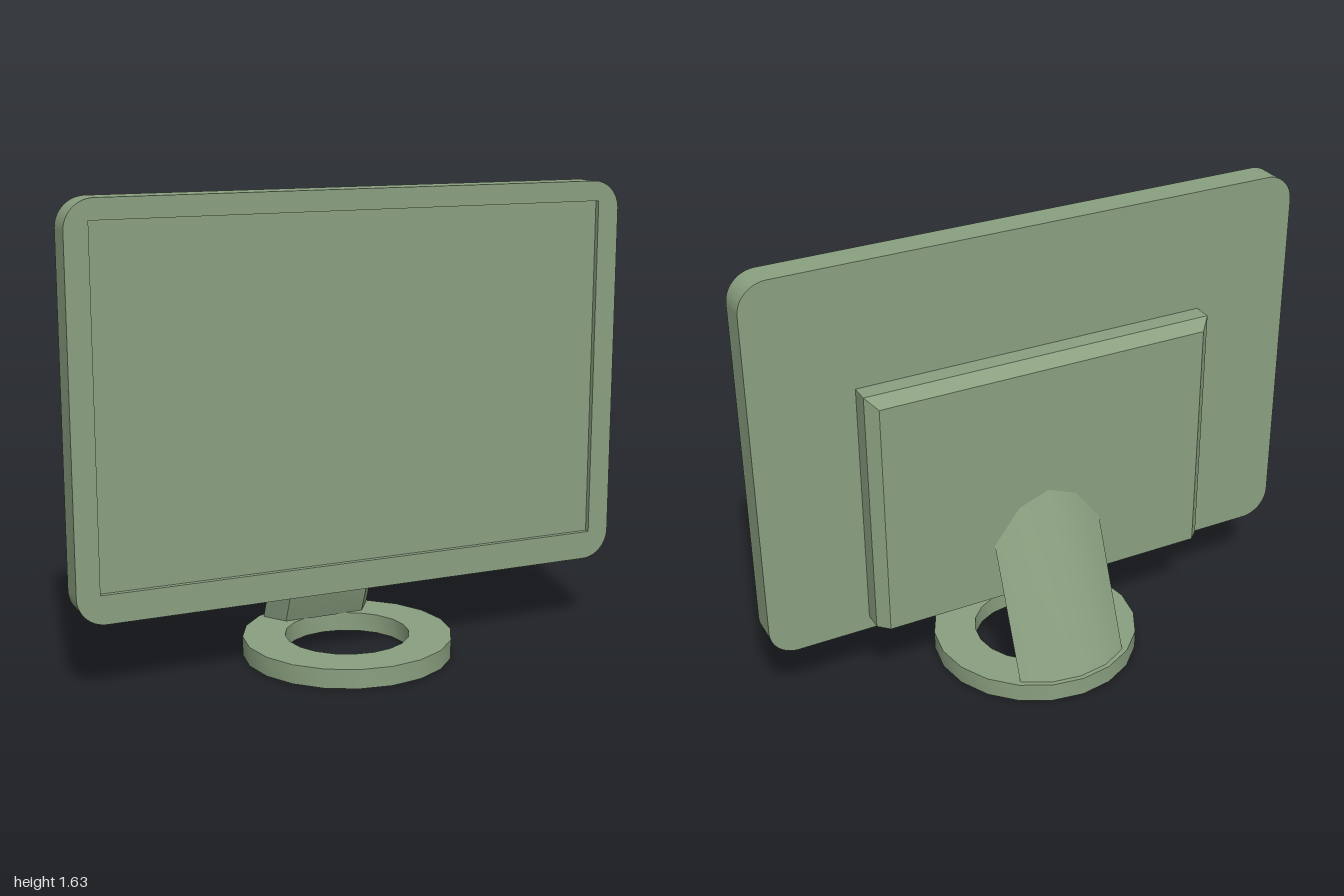
import * as THREE from 'three';
import { toCreasedNormals } from 'three/addons/utils/BufferGeometryUtils.js';

const material = new THREE.MeshStandardMaterial({ color: 0x8aa080 });

function addPart(group, name, geometry) {
  const mesh = new THREE.Mesh(toCreasedNormals(geometry, 0.5), material);
  mesh.name = name;
  group.add(mesh);
  return mesh;
}

// Apply a rule to every vertex of a geometry
function moveVertices(geometry, rule) {
  const pos = geometry.attributes.position;
  const v = new THREE.Vector3();
  for (let i = 0; i < pos.count; i++) {
    rule(v.fromBufferAttribute(pos, i));
    pos.setXYZ(i, v.x, v.y, v.z);
  }
  return geometry;
}

function roundedRect(x0, y0, x1, y1, r) {
  const s = new THREE.Shape();
  s.absarc(x1 - r, y0 + r, r, -Math.PI / 2, 0);
  s.absarc(x1 - r, y1 - r, r, 0, Math.PI / 2);
  s.absarc(x0 + r, y1 - r, r, Math.PI / 2, Math.PI);
  s.absarc(x0 + r, y0 + r, r, Math.PI, Math.PI * 1.5);
  s.closePath();
  return s;
}

export function createModel() {
  const model = new THREE.Group();
  model.name = 'monitor';

  // Frame with rounded corners around the display opening
  const back = 0.004, front = 0.108, recess = 0.018;
  const frame = roundedRect(-1, 0.26, 1, 1.635, 0.1);
  frame.holes.push(new THREE.Path([
    new THREE.Vector2(-0.92, 0.36), new THREE.Vector2(-0.92, 1.565),
    new THREE.Vector2(0.92, 1.565), new THREE.Vector2(0.92, 0.36),
  ]));
  const frameGeo = new THREE.ExtrudeGeometry(frame, { depth: front - back, bevelEnabled: false, curveSegments: 8 });
  addPart(model, 'frame', frameGeo.translate(0, 0, back));

  // Display set slightly back in the frame
  const depth = front - recess - back;
  addPart(model, 'display', new THREE.BoxGeometry(1.84, 1.205, depth))
    .position.set(0, 0.9625, back + depth / 2);

  // Rear housing, chamfered along the top and both sides
  const housing = moveVertices(new THREE.BoxGeometry(1.28, 0.89, 1, 1, 1, 2), (v) => {
    const rear = v.z < -0.25;
    if (rear) {
      v.x -= Math.sign(v.x) * 0.037;
      if (v.y > 0) v.y -= 0.037;
    }
    v.y += 0.755;
    v.z = rear ? -0.098 : v.z > 0.25 ? 0.01 : -0.062;
  });
  addPart(model, 'rearHousing', housing);

  // Ring foot
  const ring = new THREE.Shape();
  const hole = new THREE.Path();
  for (let i = 0; i < 20; i++) {
    const a = (i / 20) * Math.PI * 2;
    const c = Math.cos(a), s = Math.sin(a);
    if (i === 0) { ring.moveTo(0.37 * c, 0.37 * s); hole.moveTo(0.22 * c, 0.22 * s); }
    else { ring.lineTo(0.37 * c, 0.37 * s); hole.lineTo(0.22 * c, 0.22 * s); }
  }
  ring.closePath();
  hole.closePath();
  ring.holes.push(hole);
  const ringGeo = new THREE.ExtrudeGeometry(ring, { depth: 0.068, bevelEnabled: false });
  addPart(model, 'ringFoot', ringGeo.rotateX(-Math.PI / 2));

  // Leaning arm: curved-back section swept up and forward into the housing
  const section = new THREE.Shape([
    [0.15, 0.205], [0.205, 0.286], [0.11, 0.337], [0, 0.354],
    [-0.11, 0.337], [-0.205, 0.286], [-0.15, 0.205],
  ].map(([x, y]) => new THREE.Vector2(x, y)));
  const arm = new THREE.ExtrudeGeometry(section, { depth: 1, bevelEnabled: false }).rotateX(-Math.PI / 2);
  const end = -0.09, slope = 0.407;
  moveVertices(arm, (v) => {
    const top = v.y > 0.5;
    v.y = 0.066 + (top ? (end - v.z) / slope : 0);
    if (top) v.z = end;
  });
  addPart(model, 'supportArm', arm);

  return model;
}
